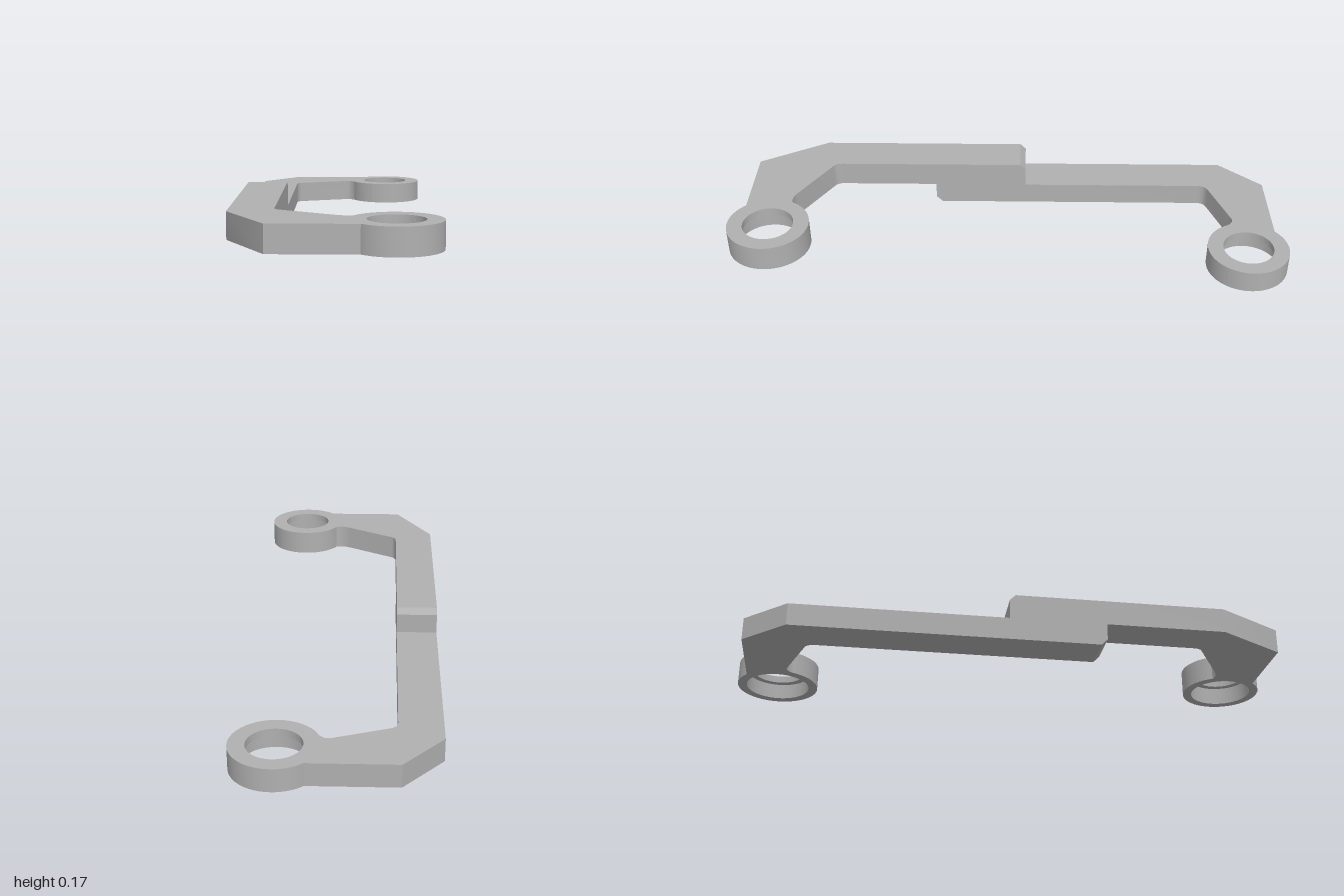
import * as THREE from 'three';
import { toCreasedNormals } from 'three/addons/utils/BufferGeometryUtils.js';

const LEFT = -0.335, INNER = -0.19, MID = 0.08;
const RING = { x: 0.19, u: 0.855, outer: 0.145, bore: 0.113, hole: 0.09, lip: 0.025 };

export function createModel() {
  const grey = new THREE.MeshStandardMaterial({ color: 0xb0b0b0 });
  grey.name = 'grey';
  const model = new THREE.Group();
  model.name = 'clipBracket';

  function add(name, geometry) {
    const mesh = new THREE.Mesh(toCreasedNormals(geometry, 0.6), grey);
    mesh.name = name;
    model.add(mesh);
  }

  // Bent arm outline, u measured outward from the middle; side is +1 for front, -1 for back
  function arm(name, side, y, height, joint, p) {
    const s = new THREE.Shape();
    s.moveTo(INNER, joint);
    s.lineTo(LEFT, joint);
    s.lineTo(LEFT, p.corner);
    s.lineTo(-0.2, p.edge);
    // edge runs into the ring, then follows it round to the inner side
    const r = RING.outer - 0.002;
    const a0 = Math.PI - Math.asin((p.edge - RING.u) / r);
    const a1 = Math.PI + 0.52;
    for (let i = 0; i <= 10; i++) {
      const a = a0 + (a1 - a0) * i / 10;
      s.lineTo(RING.x + r * Math.cos(a), RING.u + r * Math.sin(a));
    }
    // filleted inner edge
    s.quadraticCurveTo(0.04, p.neck + 0.012, 0.005, p.neck - 0.008);
    s.lineTo(-0.17, p.elbow);
    s.quadraticCurveTo(INNER, p.elbow - 0.01, INNER, p.elbow - 0.035);
    s.closePath();
    // turn the outline to the front or back
    const pts = s.getPoints(8).map(v => new THREE.Vector2(v.x, -side * v.y));
    const g = new THREE.ExtrudeGeometry(new THREE.Shape(pts), { depth: height, bevelEnabled: false });
    g.rotateX(-Math.PI / 2).translate(0, y, 0);
    add(name, g);
  }

  // Eyelet ring with a thin lip on top of a wider bore
  function ring(name, side, y, height) {
    const { outer, bore, hole, lip } = RING;
    const profile = [
      [bore, 0], [outer, 0], [outer, height], [hole, height],
      [hole, height - lip], [bore, height - lip], [bore, 0],
    ].map(([a, b]) => new THREE.Vector2(a, b));
    const g = new THREE.LatheGeometry(profile, 64);
    g.translate(RING.x, y, side * RING.u);
    add(name, g);
  }

  // Straight overlapping end with one chamfered edge; profile is (z, y)
  function barEnd(name, profile) {
    const s = new THREE.Shape(profile.map(([z, y]) => new THREE.Vector2(z, y)));
    const g = new THREE.ExtrudeGeometry(s, { depth: INNER - LEFT, bevelEnabled: false });
    g.rotateY(-Math.PI / 2).translate(INNER, 0, 0);
    add(name, g);
  }

  // Lower half, reaching to the back
  arm('lowerArm', -1, 0, MID, 0.06, { corner: 0.81, edge: 0.963, neck: 0.82, elbow: 0.75 });
  ring('lowerRing', -1, 0, MID);
  barEnd('lowerBarEnd', [[-0.06, 0], [0.263, 0], [0.285, 0.022], [0.285, MID], [-0.06, MID]]);

  // Upper half, reaching to the front
  arm('upperArm', 1, MID, 0.09, 0.285, { corner: 0.71, edge: 0.952, neck: 0.786, elbow: 0.673 });
  ring('upperRing', 1, MID, 0.09);
  barEnd('upperBarEnd', [[-0.057, MID], [0.285, MID], [0.285, 0.17], [-0.037, 0.17], [-0.057, 0.15]]);

  return model;
}
